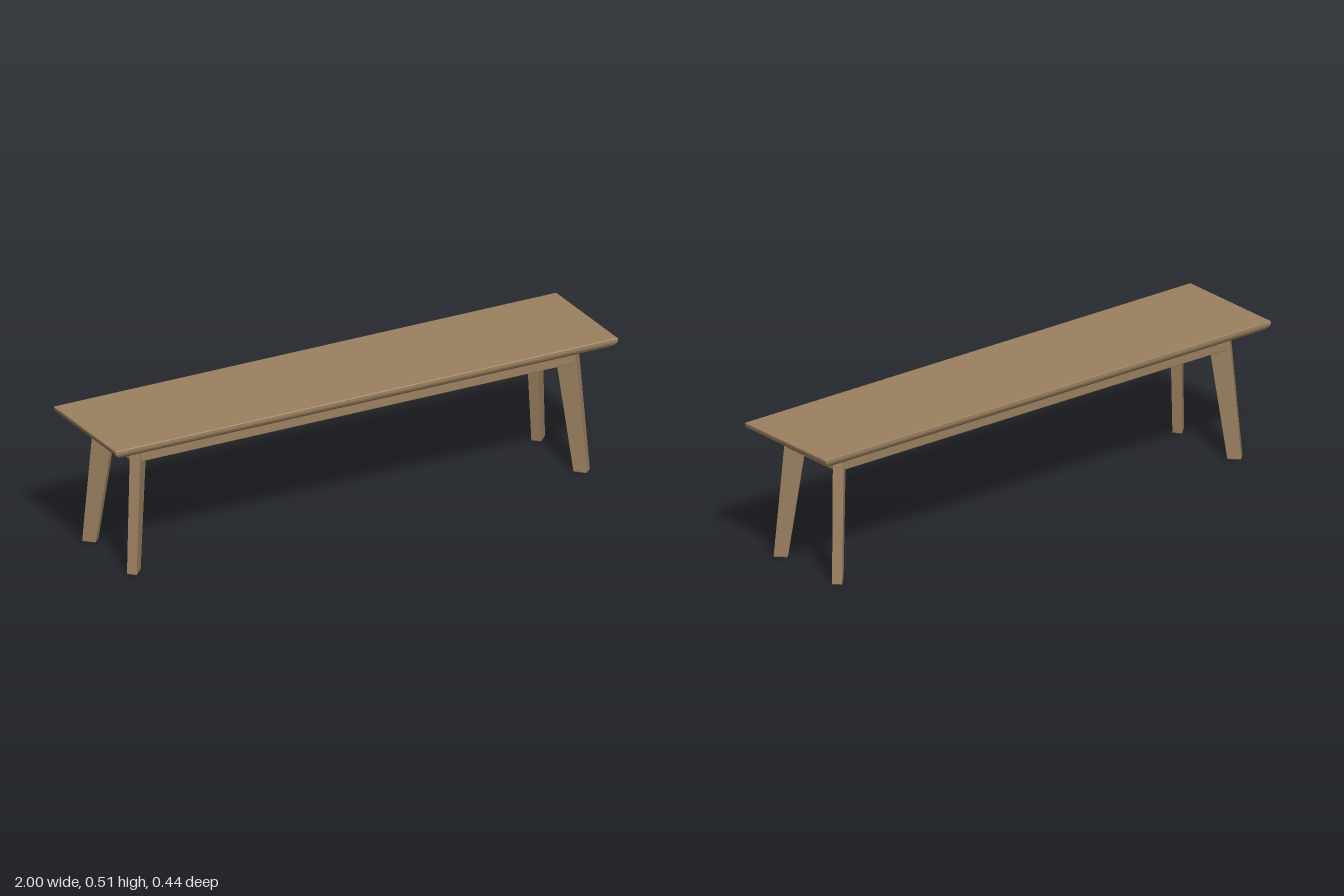
import * as THREE from 'three';
import { RoundedBoxGeometry } from 'three/addons/geometries/RoundedBoxGeometry.js';

const SEAT_BOTTOM = 0.476;

// Skins four-cornered rings, listed bottom to top, corners counterclockwise from above
function loft(rings) {
  const pos = [];
  const quad = (a, b, c, d) => pos.push(...a, ...b, ...c, ...a, ...c, ...d);
  for (let r = 0; r < rings.length - 1; r++) {
    for (let k = 0; k < 4; k++) {
      const n = (k + 1) % 4;
      quad(rings[r][k], rings[r][n], rings[r + 1][n], rings[r + 1][k]);
    }
  }
  quad(...rings[rings.length - 1]);
  quad(...[...rings[0]].reverse());
  const geo = new THREE.BufferGeometry();
  geo.setAttribute('position', new THREE.Float32BufferAttribute(pos, 3));
  geo.computeVertexNormals();
  return geo;
}

// Seat plank with a rounded underside, cut back further at the ends
function seatGeometry() {
  const levels = [ // y, half length, half depth
    [SEAT_BOTTOM, 0.974, 0.211],
    [0.480, 0.983, 0.215],
    [0.486, 0.992, 0.219],
    [0.494, 0.998, 0.222],
    [0.505, 1.0, 0.222],
    [0.508, 0.998, 0.22],
  ];
  return loft(levels.map(([y, x, z]) => [[-x, y, z], [x, y, z], [x, y, -z], [-x, y, -z]]));
}

// Tapered leg whose rectangular section is turned to the diagonal and splays outward
function legGeometry(sx, sz) {
  const levels = [ // y, outer corner, edge corner, depth along the diagonal
    [0, 0.184, 0.161, 0.032],
    [0.003, 0.186, 0.161, 0.035],
    [SEAT_BOTTOM + 0.002, 0.157, 0.13, 0.055],
  ];
  const shift = 0.735;
  return loft(levels.map(([y, o, m, d]) => {
    const ring = [[m, o], [o, m], [o - d, m - d], [m - d, o - d]]
      .map(([x, z]) => [sx * (x + shift), y, sz * z]);
    return sx * sz < 0 ? ring.reverse() : ring;
  }));
}

export function createModel() {
  const group = new THREE.Group();
  group.name = 'bench';
  const wood = new THREE.MeshStandardMaterial({ color: 0x9c8160 });
  wood.name = 'oak wood';

  const add = (name, geometry, x = 0, y = 0, z = 0) => {
    const mesh = new THREE.Mesh(geometry, wood);
    mesh.name = name;
    mesh.position.set(x, y, z);
    group.add(mesh);
  };

  add('seat', seatGeometry());

  // Legs at the four corners
  for (const sx of [-1, 1]) {
    for (const sz of [-1, 1]) {
      add(`${sz > 0 ? 'front' : 'back'}${sx > 0 ? 'Left' : 'Right'}Leg`, legGeometry(sx, sz));
    }
  }

  // Aprons running between the legs
  const bottom = 0.413, height = SEAT_BOTTOM + 0.003 - bottom, thick = 0.025;
  const midY = bottom + height / 2;
  for (const s of [-1, 1]) {
    add(s > 0 ? 'frontApron' : 'backApron',
      new RoundedBoxGeometry(1.73, height, thick, 2, 0.003), 0, midY, s * (0.154 - thick / 2));
    add(s > 0 ? 'leftApron' : 'rightApron',
      new RoundedBoxGeometry(thick, height, 0.256, 2, 0.003), s * (0.889 - thick / 2), midY, 0);
  }
  return group;
}
